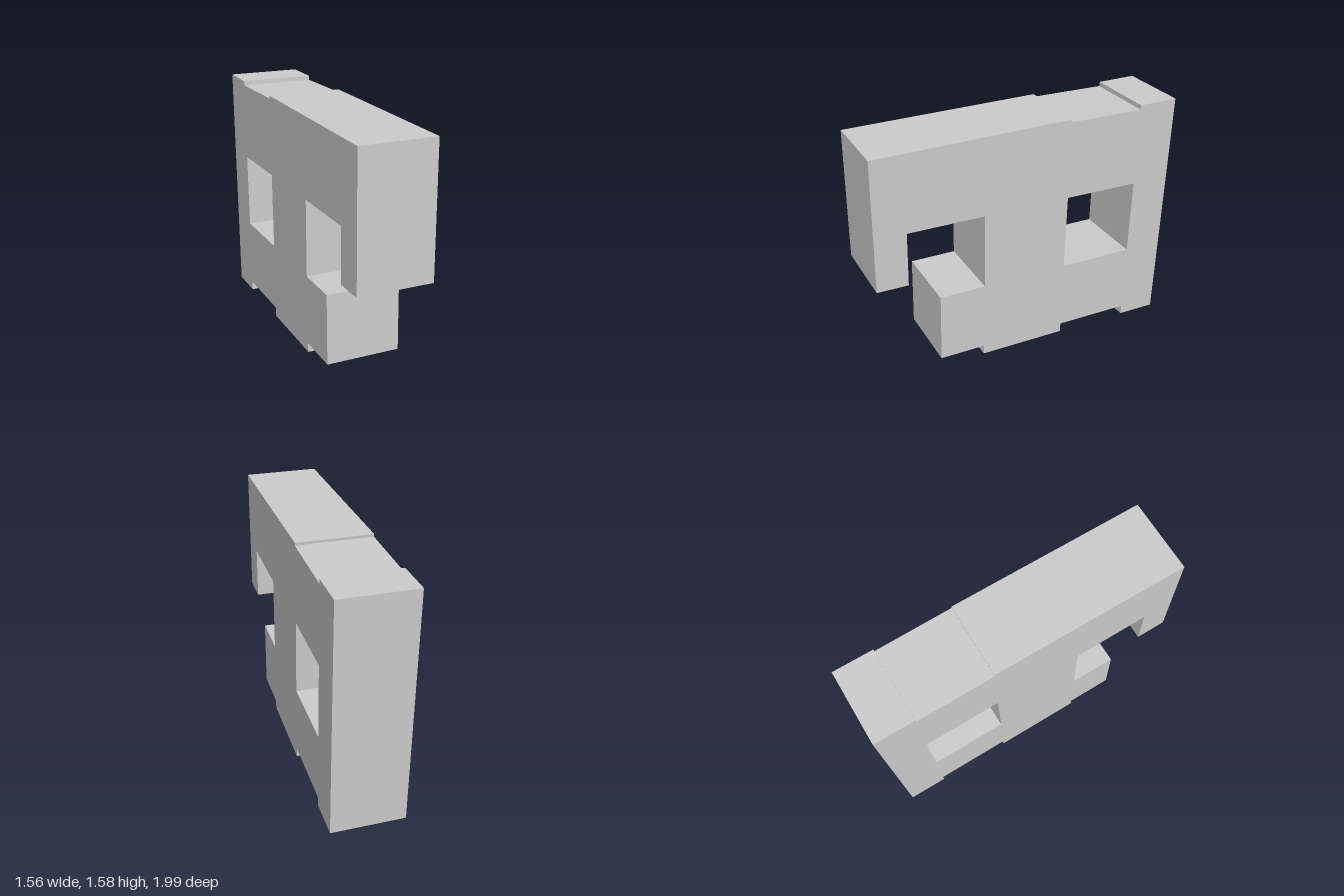
import * as THREE from 'three';

const TURN = Math.atan2(1.4956, 1); // heading of the slab seen from above
const THICK = 0.486;

// Corners are given as (x, y) on the turned front face; unfold x into length along the slab
const unfold = ([x, y]) =>
  new THREE.Vector2((x + (THICK / 2) * Math.sin(TURN)) / Math.cos(TURN), y);

export function createModel() {
  const group = new THREE.Group();

  const outline = [
    // bottom left foot and shallow bottom notch
    [-0.757, 0], [-0.613, 0.007], [-0.615, 0.07], [-0.336, 0.082], [-0.335, 0.02],
    // raised step towards the right end
    [-0.011, 0.035], [-0.013, 0.097], [0.156, 0.104], [0.148, 0.567],
    // open window at the right end
    [-0.021, 0.561], [-0.026, 1.064], [0.253, 1.075], [0.259, 0.722], [0.371, 0.728],
    // flat top with a shallow notch
    [0.36, 1.58], [-0.356, 1.58], [-0.355, 1.562], [-0.635, 1.551], [-0.636, 1.58], [-0.782, 1.58],
  ];
  const windowOpening = [[-0.629, 1.037], [-0.35, 1.05], [-0.342, 0.546], [-0.62, 0.535]];

  const shape = new THREE.Shape(outline.map(unfold));
  shape.holes.push(new THREE.Path(windowOpening.map(unfold)));

  const geometry = new THREE.ExtrudeGeometry(shape, { depth: THICK, bevelEnabled: false });
  geometry.translate(0, 0, -THICK / 2);

  const wall = new THREE.Mesh(
    geometry,
    new THREE.MeshStandardMaterial({ color: 0xcccccc, flatShading: true })
  );
  wall.name = 'wallSlab';
  wall.rotation.y = -TURN;
  group.add(wall);
  return group;
}
